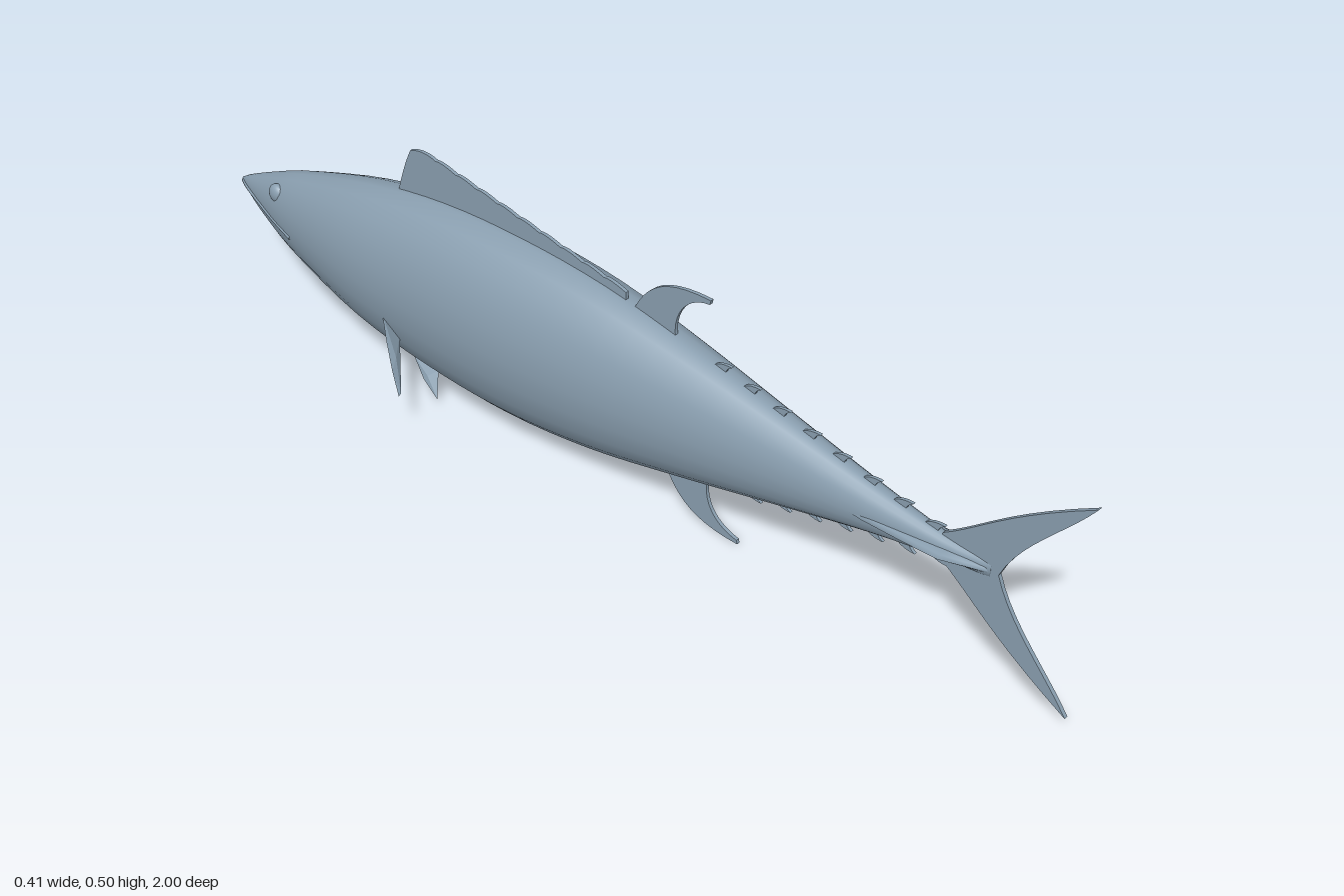
import * as THREE from 'three';
import { ConvexGeometry } from 'three/addons/geometries/ConvexGeometry.js';

// Body stations: z, top height, bottom height, half width (snout to tail root)
const STATIONS = [
  [-1, 0.237, 0.229, 0.003], [-0.97, 0.254, 0.208, 0.016], [-0.9, 0.286, 0.168, 0.037],
  [-0.8, 0.326, 0.126, 0.062], [-0.6, 0.386, 0.072, 0.098], [-0.4, 0.42, 0.045, 0.112],
  [-0.2, 0.427, 0.04, 0.116], [0, 0.414, 0.06, 0.106], [0.2, 0.377, 0.1, 0.083],
  [0.4, 0.331, 0.145, 0.057], [0.6, 0.284, 0.19, 0.034], [0.74, 0.258, 0.212, 0.018],
  [0.83, 0.25, 0.22, 0.006],
];
const heights = new THREE.CatmullRomCurve3(
  STATIONS.map(([z, t, b]) => new THREE.Vector3(z, t, b)), false, 'catmullrom');
const widths = new THREE.CatmullRomCurve3(
  STATIONS.map(([z, , , w]) => new THREE.Vector3(z, w, 0)), false, 'catmullrom');

// Loft of elliptical rings closed at both ends
function loft(rings, sides) {
  const pos = [], idx = [];
  for (const { z, y, w, h } of rings) {
    for (let j = 0; j < sides; j++) {
      const a = (j / sides) * Math.PI * 2;
      pos.push(w * Math.cos(a), y + h * Math.sin(a), z);
    }
  }
  const last = (rings.length - 1) * sides;
  for (let i = 0; i < rings.length - 1; i++) {
    for (let j = 0; j < sides; j++) {
      const a = i * sides + j, b = i * sides + (j + 1) % sides;
      idx.push(a, b + sides, b, a, a + sides, b + sides);
    }
  }
  for (let j = 1; j < sides - 1; j++) {
    idx.push(0, j + 1, j, last, last + j, last + j + 1);
  }
  // Rings run towards +z, so turn the faces outwards
  for (let i = 0; i < idx.length; i += 3) [idx[i + 1], idx[i + 2]] = [idx[i + 2], idx[i + 1]];
  const g = new THREE.BufferGeometry();
  g.setAttribute('position', new THREE.Float32BufferAttribute(pos, 3));
  g.setIndex(idx);
  g.computeVertexNormals();
  return g;
}

// Thin upright fin in the middle plane, from a shape drawn in (z, y)
function uprightFin(shape, thickness = 0.007) {
  const g = new THREE.ExtrudeGeometry(shape, { depth: thickness, bevelEnabled: false, curveSegments: 10 });
  g.translate(0, 0, -thickness / 2);
  g.rotateY(-Math.PI / 2);
  return g;
}

// Point on the flank at a given z and y
function flank(z, y, side) {
  let i = 0;
  while (i < STATIONS.length - 2 && STATIONS[i + 1][0] < z) i++;
  const A = STATIONS[i], B = STATIONS[i + 1], k = (z - A[0]) / (B[0] - A[0]);
  const [t, b, w] = [1, 2, 3].map((n) => A[n] + (B[n] - A[n]) * k);
  const d = (y - (t + b) / 2) / ((t - b) / 2);
  return new THREE.Vector3(side * w * Math.sqrt(Math.max(0, 1 - d * d)), y, z);
}

export function createModel() {
  const model = new THREE.Group();
  const skin = new THREE.MeshStandardMaterial({ color: 0x8a9fb0, side: THREE.DoubleSide });
  skin.name = 'blue grey skin';
  const add = (name, geometry) => {
    const mesh = new THREE.Mesh(geometry, skin);
    mesh.name = name;
    model.add(mesh);
    return mesh;
  };

  // Body
  const rings = [];
  for (let i = 0; i <= 48; i++) {
    const p = heights.getPoint(i / 48), w = widths.getPoint(i / 48).y;
    rings.push({ z: p.x, y: (p.y + p.z) / 2, w, h: (p.y - p.z) / 2 });
  }
  add('body', loft(rings, 22));

  // Side keels on the tail stalk
  const keel = [[0.5, 0.03], [0.6, 0.039], [0.68, 0.039], [0.75, 0.037], [0.79, 0.022], [0.83, 0.005]];
  add('tailKeel', loft(keel.map(([z, w]) => ({ z, y: 0.235, w, h: 0.008 })), 10));

  // First dorsal fin with a scalloped edge
  const dorsal = new THREE.Shape();
  dorsal.moveTo(0.05, 0.39);
  dorsal.lineTo(0.05, 0.42);
  for (let i = 0; i < 9; i++) {
    const z0 = 0.05 - i * 0.052, z1 = z0 - 0.052;
    const y1 = 0.42 + 0.08 * (i + 1) / 9;
    dorsal.quadraticCurveTo((z0 + z1) / 2 - 0.012, y1 + 0.004, z1, y1);
  }
  dorsal.quadraticCurveTo(-0.45, 0.512, -0.485, 0.498);
  dorsal.quadraticCurveTo(-0.505, 0.46, -0.523, 0.4);
  dorsal.lineTo(-0.4, 0.38);
  add('firstDorsalFin', uprightFin(dorsal));

  // Second dorsal fin
  const second = new THREE.Shape();
  second.moveTo(0.07, 0.38);
  second.lineTo(0.07, 0.398);
  second.bezierCurveTo(0.1, 0.46, 0.14, 0.49, 0.24, 0.488);
  second.lineTo(0.238, 0.479);
  second.bezierCurveTo(0.19, 0.475, 0.155, 0.43, 0.165, 0.375);
  add('secondDorsalFin', uprightFin(second));

  // Anal fin
  const anal = new THREE.Shape();
  anal.moveTo(0.145, 0.11);
  anal.lineTo(0.15, 0.088);
  anal.bezierCurveTo(0.18, 0.03, 0.22, 0.002, 0.318, 0.002);
  anal.lineTo(0.316, 0.01);
  anal.bezierCurveTo(0.265, 0.02, 0.235, 0.055, 0.245, 0.12);
  add('analFin', uprightFin(anal));

  // Tail fin, two mirrored crescent lobes
  const tail = new THREE.Shape();
  tail.moveTo(0.73, 0.235);
  tail.lineTo(0.735, 0.262);
  tail.bezierCurveTo(0.8, 0.305, 0.84, 0.36, 0.998, 0.452);
  tail.bezierCurveTo(0.95, 0.38, 0.875, 0.32, 0.845, 0.235);
  tail.bezierCurveTo(0.875, 0.15, 0.95, 0.09, 0.998, 0.02);
  tail.bezierCurveTo(0.84, 0.11, 0.8, 0.165, 0.735, 0.208);
  add('tailFin', uprightFin(tail, 0.008));

  // Finlets along the back and belly
  const finlet = (name, z, y, up) => {
    const s = new THREE.Shape();
    s.moveTo(z - 0.035, y - up * 0.006);
    s.quadraticCurveTo(z - 0.02, y + up * 0.016, z + 0.012, y + up * 0.014);
    s.quadraticCurveTo(z - 0.004, y + up * 0.006, z - 0.002, y - up * 0.012);
    add(name, uprightFin(s, 0.006));
  };
  const edgeAt = (z, n) => {
    const i = STATIONS.findIndex((s) => s[0] > z), A = STATIONS[i - 1], B = STATIONS[i];
    return A[n] + (B[n] - A[n]) * (z - A[0]) / (B[0] - A[0]);
  };
  for (let i = 0; i < 8; i++) {
    const z = 0.278 + i * 0.064;
    finlet('upperFinlet', z, edgeAt(z, 1), 1);
    if (i > 0) finlet('lowerFinlet', z + 0.012, edgeAt(z + 0.012, 2), -1);
  }

  // Paired fins: thin blades through a few outline points
  const blade = (name, side, points, push) => {
    const outline = points.map(([x, y, z]) => new THREE.Vector3(side * x, y, z));
    const mid = outline.reduce((m, p) => m.add(p), new THREE.Vector3()).divideScalar(outline.length);
    const n = new THREE.Vector3().subVectors(outline[1], outline[0])
      .cross(new THREE.Vector3().subVectors(outline[2], outline[0])).normalize().multiplyScalar(push);
    add(name, new ConvexGeometry([...outline, mid.clone().add(n), mid.clone().sub(n)]));
  };

  for (const side of [1, -1]) {
    const word = side > 0 ? 'left' : 'right';
    blade(word + 'PectoralFin', side, [
      [0.095, 0.178, -0.49], [0.085, 0.138, -0.455], [0.205, 0.118, -0.333],
      [0.135, 0.161, -0.438], [0.18, 0.141, -0.375], [0.196, 0.118, -0.336], [0.145, 0.13, -0.395],
    ], 0.005);
    blade(word + 'PelvicFin', side, [
      [0.047, 0.068, -0.46], [0.045, 0.062, -0.395], [0.073, 0.02, -0.372], [0.062, 0.04, -0.42],
    ], 0.003);

    // Eye
    const eye = add(word + 'Eye', new THREE.SphereGeometry(0.021, 20, 14));
    eye.position.copy(flank(-0.85, 0.272, side)).add(new THREE.Vector3(-side * 0.006, 0, 0));
    eye.scale.x = 0.65;

    // Lip line from the snout back along the cheek
    const lip = [[-0.995, 0.233], [-0.97, 0.231], [-0.92, 0.224], [-0.86, 0.214], [-0.79, 0.205]]
      .map(([z, y]) => flank(z, y, side));
    add(word + 'Lip', new THREE.TubeGeometry(new THREE.CatmullRomCurve3(lip), 20, 0.0035, 6));
  }
  return model;
}
